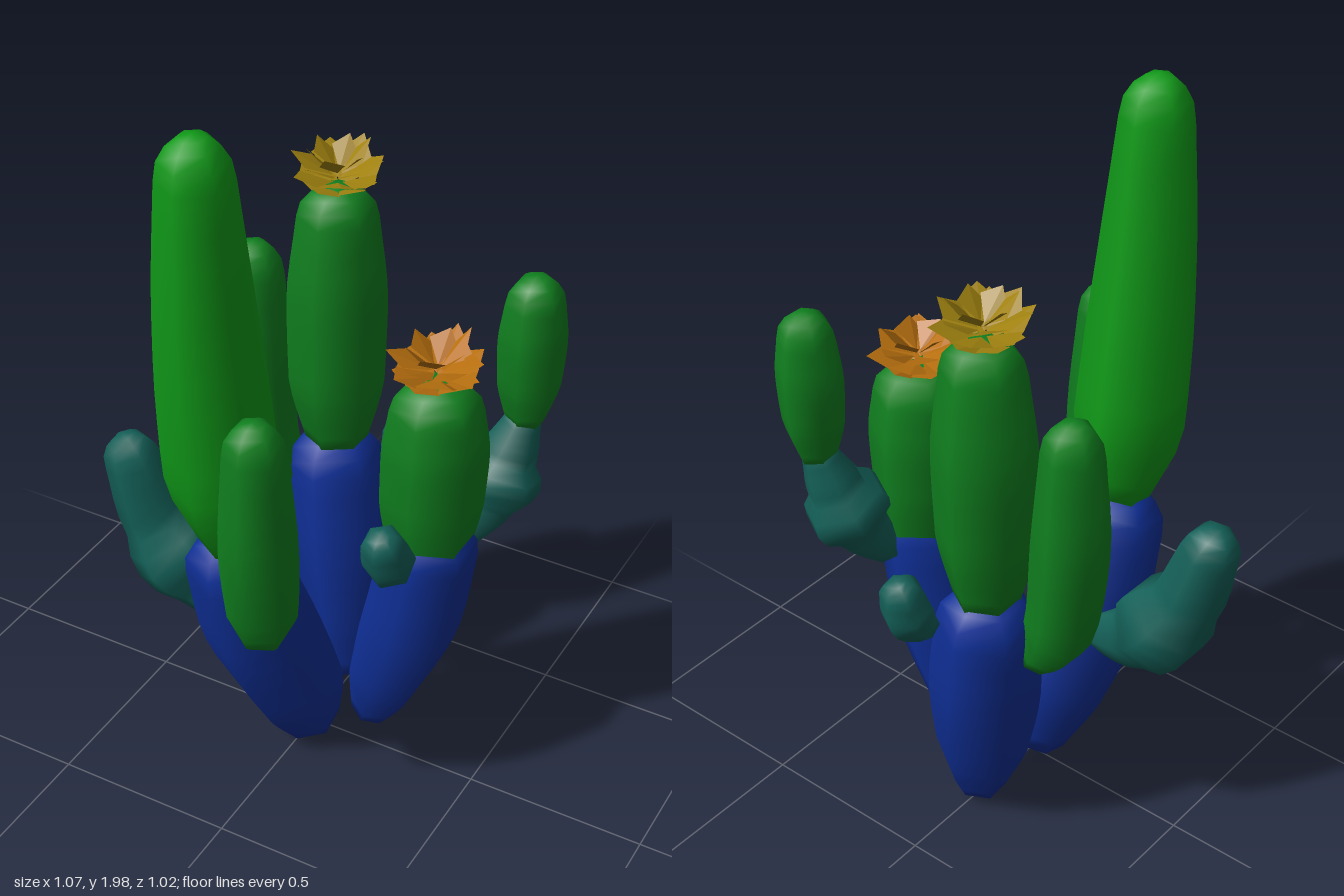
import * as THREE from 'three';

const SIDES = 6;
const UP = new THREE.Vector3(0, 1, 0);

// Six-sided limb swept through [x, y, z, radius] stations, closed by a domed tip
function limbGeometry(stations, dome = 0.9) {
  const path = new THREE.CatmullRomCurve3(stations.map(([x, y, z]) => new THREE.Vector3(x, y, z)));
  const sizes = new THREE.CatmullRomCurve3(stations.map((s) => new THREE.Vector3(s[3], 0, 0)));
  const pos = [], index = [];
  let rings = 0;
  const addRing = (centre, dir, r) => {
    const q = new THREE.Quaternion().setFromUnitVectors(UP, dir);
    for (let j = 0; j < SIDES; j++) {
      const a = (j / SIDES) * Math.PI * 2;
      const p = new THREE.Vector3(Math.sin(a) * r, 0, Math.cos(a) * r).applyQuaternion(q).add(centre);
      pos.push(p.x, p.y, p.z);
    }
    rings++;
  };
  const steps = 12;
  for (let i = 0; i <= steps; i++) {
    addRing(path.getPoint(i / steps), path.getTangent(i / steps), sizes.getPoint(i / steps).x);
  }
  const end = path.getPoint(1), dir = path.getTangent(1), r = stations.at(-1)[3];
  for (const deg of [25, 48, 68]) {
    const a = THREE.MathUtils.degToRad(deg);
    addRing(end.clone().addScaledVector(dir, Math.sin(a) * r * dome), dir, Math.cos(a) * r);
  }
  const tip = end.clone().addScaledVector(dir, r * dome);
  const start = path.getPoint(0);
  pos.push(...tip.toArray(), ...start.toArray());
  const tipId = rings * SIDES, startId = tipId + 1;
  for (let j = 0; j < SIDES; j++) {
    const k = (j + 1) % SIDES;
    for (let i = 0; i < rings - 1; i++) {
      const a = i * SIDES, b = a + SIDES;
      index.push(a + j, a + k, b + k, a + j, b + k, b + j);
    }
    const top = (rings - 1) * SIDES;
    index.push(top + j, top + k, tipId, k, j, startId);
  }
  const g = new THREE.BufferGeometry();
  g.setAttribute('position', new THREE.Float32BufferAttribute(pos, 3));
  g.setIndex(index);
  g.computeVertexNormals();
  return g;
}

// Flower of jagged, folded petals in stacked whorls; layers are [y, radius, tipRise]
function flowerGeometry(layers, wobble) {
  const pos = [];
  const at = (a, r, y) => [Math.sin(a) * r, y, Math.cos(a) * r];
  layers.forEach(([y, r, rise], n) => {
    for (let j = 0; j < 6; j++) {
      const a = (j / 6) * Math.PI * 2 + n * 0.42;
      const jag = Math.sin(j * 2.4 + n * 1.7) * wobble;
      const base = at(a, r * 0.1, y);
      const tip = at(a + jag, r * (1 + jag * 0.3), y + rise + jag * 0.05);
      const left = at(a - 0.55, r * 0.76, y + rise * 0.35 + 0.008);
      const right = at(a + 0.55, r * 0.76, y + rise * 0.75 - 0.008);
      pos.push(...base, ...tip, ...left, ...base, ...right, ...tip);
    }
  });
  const g = new THREE.BufferGeometry();
  g.setAttribute('position', new THREE.Float32BufferAttribute(pos, 3));
  g.computeVertexNormals();
  return g;
}

export function createModel() {
  const cactus = new THREE.Group();
  cactus.name = 'cactus';
  const mats = {
    base: new THREE.MeshStandardMaterial({ color: 0x0f2f96 }),
    teal: new THREE.MeshStandardMaterial({ color: 0x146058 }),
    green: new THREE.MeshStandardMaterial({ color: 0x10801f }),
    bright: new THREE.MeshStandardMaterial({ color: 0x109a18 }),
  };
  const limb = (name, mat, stations, dome) => {
    const m = new THREE.Mesh(limbGeometry(stations, dome), mats[mat]);
    m.name = name;
    cactus.add(m);
  };
  const flower = (name, color, x, y, z, layers, wobble) => {
    const material = new THREE.MeshStandardMaterial({ color, flatShading: true, side: THREE.DoubleSide });
    const m = new THREE.Mesh(flowerGeometry(layers, wobble), material);
    m.name = name;
    m.position.set(x, y, z);
    cactus.add(m);
  };

  // Tall front column with its two arms
  limb('frontTrunk', 'base', [[0, 0.045, 0.015, 0.085], [-0.02, 0.2, 0.07, 0.14],
    [-0.06, 0.45, 0.17, 0.16], [-0.09, 0.72, 0.25, 0.135]]);
  limb('frontColumn', 'bright', [[-0.09, 0.8, 0.265, 0.08], [-0.095, 1.03, 0.295, 0.148],
    [-0.098, 1.3, 0.325, 0.14], [-0.1, 1.6, 0.35, 0.12], [-0.1, 1.88, 0.365, 0.095]], 1.25);
  limb('rightArm', 'teal', [[-0.14, 0.46, 0.11, 0.06], [-0.28, 0.51, 0.12, 0.1],
    [-0.405, 0.66, 0.135, 0.1], [-0.465, 0.85, 0.152, 0.08]], 1.1);
  limb('frontArm', 'green', [[0.03, 0.57, 0.33, 0.04], [0.06, 0.68, 0.37, 0.09],
    [0.08, 0.92, 0.415, 0.1], [0.083, 1.23, 0.43, 0.08]], 1.2);

  // Left column with a jointed back arm and a front bud
  limb('leftTrunk', 'base', [[0.14, 0.055, -0.08, 0.055], [0.19, 0.2, -0.075, 0.105],
    [0.265, 0.45, -0.075, 0.135], [0.31, 0.7, -0.075, 0.13]]);
  limb('leftColumn', 'green', [[0.305, 0.66, -0.075, 0.1], [0.31, 0.85, -0.075, 0.137],
    [0.315, 1.0, -0.075, 0.14], [0.315, 1.14, -0.075, 0.122]], 0.75);
  limb('backArmLower', 'teal', [[0.34, 0.68, -0.18, 0.05], [0.39, 0.78, -0.245, 0.085],
    [0.42, 0.9, -0.29, 0.085], [0.445, 1.0, -0.315, 0.055]]);
  limb('backArmUpper', 'green', [[0.452, 1.01, -0.32, 0.05], [0.455, 1.12, -0.325, 0.083],
    [0.457, 1.25, -0.325, 0.09], [0.458, 1.36, -0.325, 0.078]], 1.1);
  limb('frontBud', 'teal', [[0.28, 0.7, 0.05, 0.04], [0.28, 0.76, 0.1, 0.07],
    [0.28, 0.825, 0.13, 0.062]], 1);

  // Back column with a side arm and a back bud
  limb('backTrunk', 'base', [[0, 0.055, -0.22, 0.07], [-0.025, 0.22, -0.245, 0.125],
    [-0.065, 0.48, -0.275, 0.15], [-0.09, 0.71, -0.29, 0.135]]);
  limb('backColumn', 'green', [[-0.09, 0.79, -0.29, 0.085], [-0.092, 0.98, -0.29, 0.13],
    [-0.095, 1.22, -0.295, 0.135], [-0.095, 1.48, -0.295, 0.108]], 0.85);
  limb('sideArm', 'green', [[-0.21, 0.62, -0.245, 0.045], [-0.27, 0.73, -0.23, 0.09],
    [-0.3, 1.0, -0.22, 0.1], [-0.305, 1.29, -0.22, 0.08]], 1.2);
  limb('backBud', 'teal', [[0.03, 0.69, -0.385, 0.04], [0.055, 0.75, -0.425, 0.07],
    [0.06, 0.81, -0.44, 0.062]], 1);

  // Blossoms
  flower('orangeFlower', 0xb8700f, 0.31, 1.22, -0.075,
    [[0.005, 0.12, 0.03], [0.02, 0.135, 0.035], [0.035, 0.125, 0.05], [0.045, 0.09, 0.075]], 0.3);
  flower('yellowFlower', 0xa08210, -0.095, 1.56, -0.295,
    [[0, 0.105, 0.03], [0.02, 0.13, 0.04], [0.035, 0.12, 0.06], [0.045, 0.085, 0.075]], 0.16);

  return cactus;
}
